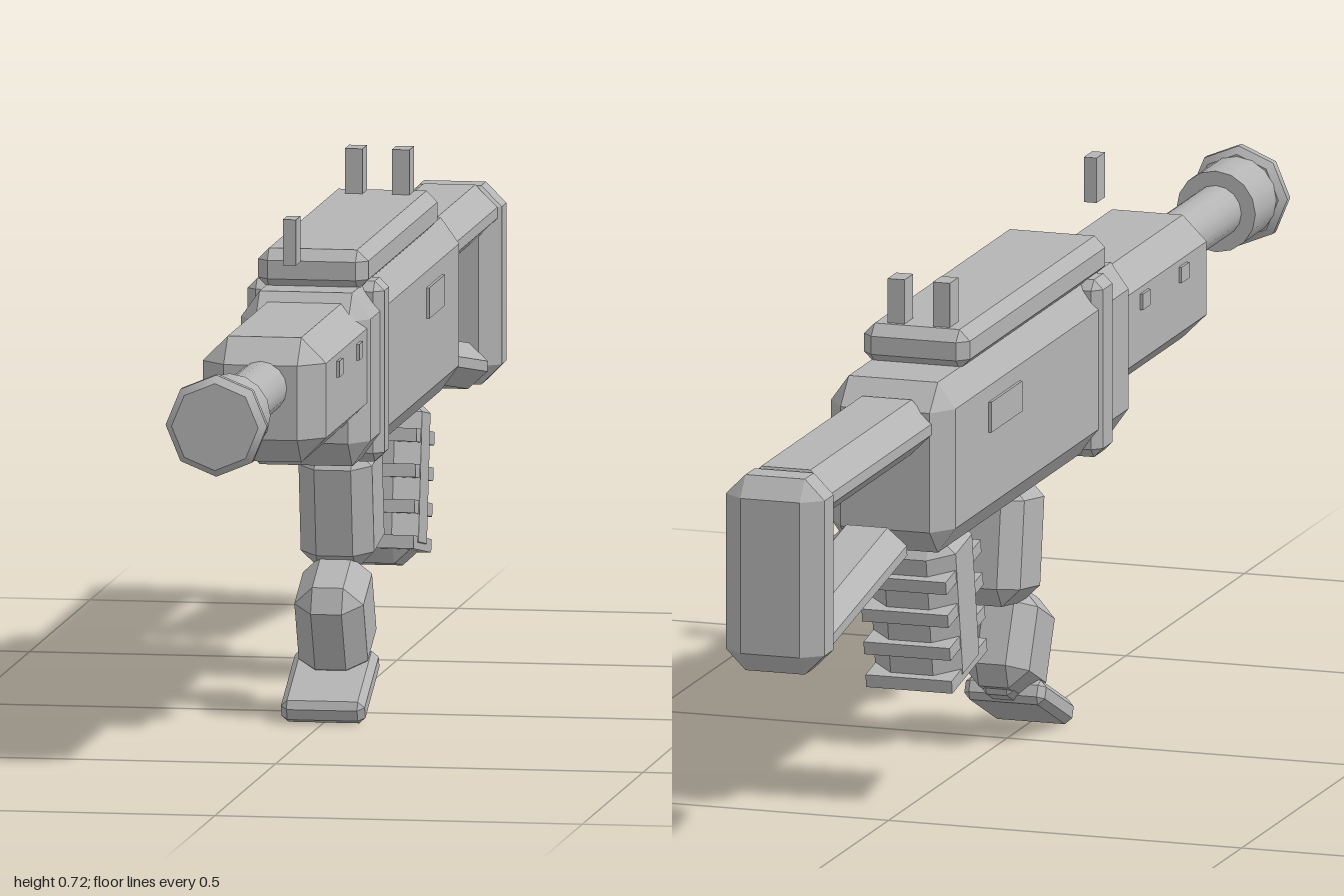
import * as THREE from 'three';
import { ConvexGeometry } from 'three/addons/geometries/ConvexGeometry.js';

const grey = new THREE.MeshStandardMaterial({ color: 0xb4b4b4 });
grey.name = 'grey';

export function createModel() {
  const model = new THREE.Group();
  model.name = 'blaster';

  const add = (name, geometry, parent = model) => {
    const mesh = new THREE.Mesh(geometry, grey);
    mesh.name = name;
    parent.add(mesh);
    return mesh;
  };

  // Box with bevelled edges; c is the bevel along x, y and z
  const bevelBox = (w, h, d, c) => {
    const [cx, cy, cz] = Array.isArray(c) ? c : [c, c, c];
    const pts = [];
    for (const sx of [-1, 1]) for (const sy of [-1, 1]) for (const sz of [-1, 1]) {
      const X = w / 2, Y = h / 2, Z = d / 2;
      pts.push(new THREE.Vector3(sx * X, sy * (Y - cy), sz * (Z - cz)));
      pts.push(new THREE.Vector3(sx * (X - cx), sy * Y, sz * (Z - cz)));
      pts.push(new THREE.Vector3(sx * (X - cx), sy * (Y - cy), sz * Z));
    }
    return new ConvexGeometry(pts);
  };

  // Bevelled box spanning half width x, y0..y1 and z0..z1
  const block = (name, x, y0, y1, z0, z1, c) => {
    const mesh = add(name, bevelBox(2 * x, y1 - y0, z1 - z0, c));
    mesh.position.set(0, (y0 + y1) / 2, (z0 + z1) / 2);
    return mesh;
  };

  // Tilted assembly
  const tilted = (name, y, z, angle) => {
    const g = new THREE.Group();
    g.name = name;
    g.position.set(0, y, z);
    g.rotation.x = angle;
    model.add(g);
    return g;
  };

  // Plain small box
  const plate = (name, w, h, d, x, y, z, parent = model) => {
    const mesh = add(name, new THREE.BoxGeometry(w, h, d), parent);
    mesh.position.set(x, y, z);
    return mesh;
  };

  // Main body
  block('receiver', 0.088, 0.375, 0.61, -0.515, 0.285, [0.025, 0.035, 0.035]);
  block('collar', 0.093, 0.37, 0.615, 0.115, 0.18, 0.013);
  block('handguard', 0.084, 0.428, 0.597, 0.22, 0.625, [0.034, 0.034, 0.034]);
  block('topRail', 0.075, 0.605, 0.66, -0.395, 0.205, 0.015);

  // Sights
  plate('frontSight', 0.018, 0.062, 0.036, 0, 0.696, 0.368);
  for (const s of [-1, 1]) {
    plate('rearSight', 0.024, 0.062, 0.036, s * 0.032, 0.69, -0.355);
    plate('sidePlate', 0.006, 0.042, 0.13, s * 0.089, 0.532, -0.275);
    for (const z of [0.49, 0.327]) plate('vent', 0.006, 0.022, 0.032, s * 0.085, 0.543, z);
  }

  // Barrel and muzzle, lying along z
  const round = (name, rFront, rBack, z0, z1, sides) => {
    const geo = new THREE.CylinderGeometry(rFront, rBack, z1 - z0, sides);
    geo.rotateX(Math.PI / 2);
    add(name, geo).position.set(0, 0.532, (z0 + z1) / 2);
  };
  round('barrel', 0.036, 0.036, 0.6, 0.9, 16);
  round('muzzle', 0.056, 0.056, 0.88, 0.98, 16);
  round('muzzleRing', 0.069, 0.069, 0.976, 0.988, 8);
  round('muzzleTip', 0.059, 0.069, 0.988, 1, 8);
  round('muzzleRingBack', 0.069, 0.059, 0.968, 0.976, 8);

  // Shoulder stock
  block('stockBar', 0.065, 0.515, 0.59, -0.945, -0.495, [0.03, 0.03, 0.012]);
  block('stockButt', 0.07, 0.318, 0.588, -1, -0.918, [0.028, 0.028, 0.022]);
  const strut = tilted('stockStrut', 0.374, -0.75, -0.165);
  add('strutBar', bevelBox(0.11, 0.062, 0.385, [0.026, 0.024, 0.026]), strut);

  // Rear grip with finger ribs
  const grip = tilted('rearGrip', 0.275, -0.352, -0.175);
  add('gripBody', bevelBox(0.124, 0.235, 0.13, [0.032, 0.03, 0.03]), grip);
  for (let i = 0; i < 4; i++) plate('gripRib', 0.122, 0.018, 0.15, 0, 0.055 - i * 0.048, -0.004, grip);

  // Trigger guard
  const path = new THREE.CatmullRomCurve3([
    [0.385, -0.205], [0.355, -0.215], [0.327, -0.24], [0.316, -0.27], [0.316, -0.31],
  ].map(([y, z]) => new THREE.Vector3(0, y, z)));
  add('triggerGuard', new THREE.TubeGeometry(path, 12, 0.01, 8));

  // Folding front grip: upper part, lower part and foot
  const upper = tilted('frontGripUpper', 0.288, -0.043, 0.15);
  add('upperBlock', bevelBox(0.1, 0.17, 0.135, 0.025), upper);
  const lower = tilted('frontGripLower', 0.136, 0.007, 0.43);
  add('lowerBlock', bevelBox(0.094, 0.14, 0.13, 0.026), lower);
  const foot = tilted('foot', 0.047, 0.05, 0.43);
  add('footPlate', bevelBox(0.114, 0.034, 0.145, 0.009), foot);
  add('footTab', bevelBox(0.045, 0.034, 0.06, 0.008), foot).position.set(0, 0.003, -0.075);

  return model;
}
